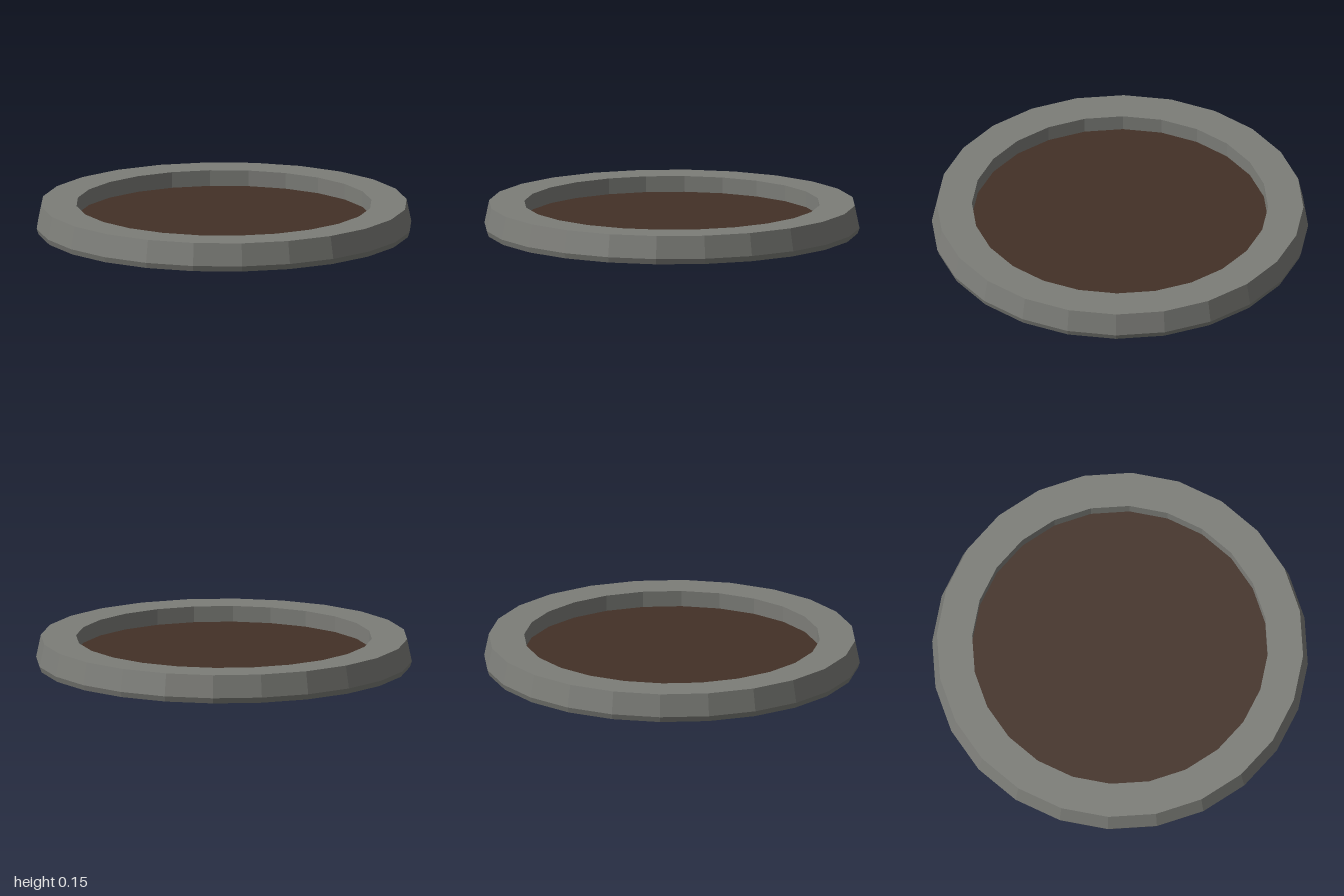
import * as THREE from 'three';

const SIDES = 24;

export function createModel() {
  const model = new THREE.Group();
  model.name = 'roundPlanterBed';

  const stone = new THREE.MeshStandardMaterial({ color: 0x7c7d78, flatShading: true });
  stone.name = 'grey stone';
  const soil = new THREE.MeshStandardMaterial({ color: 0x433127, flatShading: true });
  soil.name = 'brown soil';

  // Stone ring: underside, small foot bevel, tapered outer wall, flat rim, inner wall
  const profile = [
    [0.735, 0], [0.99, 0], [1, 0.03], [0.975, 0.15], [0.787, 0.15], [0.787, 0.06],
  ].map(([r, y]) => new THREE.Vector2(r, y));
  const ring = new THREE.Mesh(new THREE.LatheGeometry(profile, SIDES), stone);
  ring.name = 'stoneRing';
  model.add(ring);

  // Soil bed filling the ring, flush with the underside
  const bed = new THREE.Mesh(new THREE.CylinderGeometry(0.787, 0.735, 0.065, SIDES), soil);
  bed.name = 'soilBed';
  bed.position.y = 0.0325;
  model.add(bed);

  return model;
}
